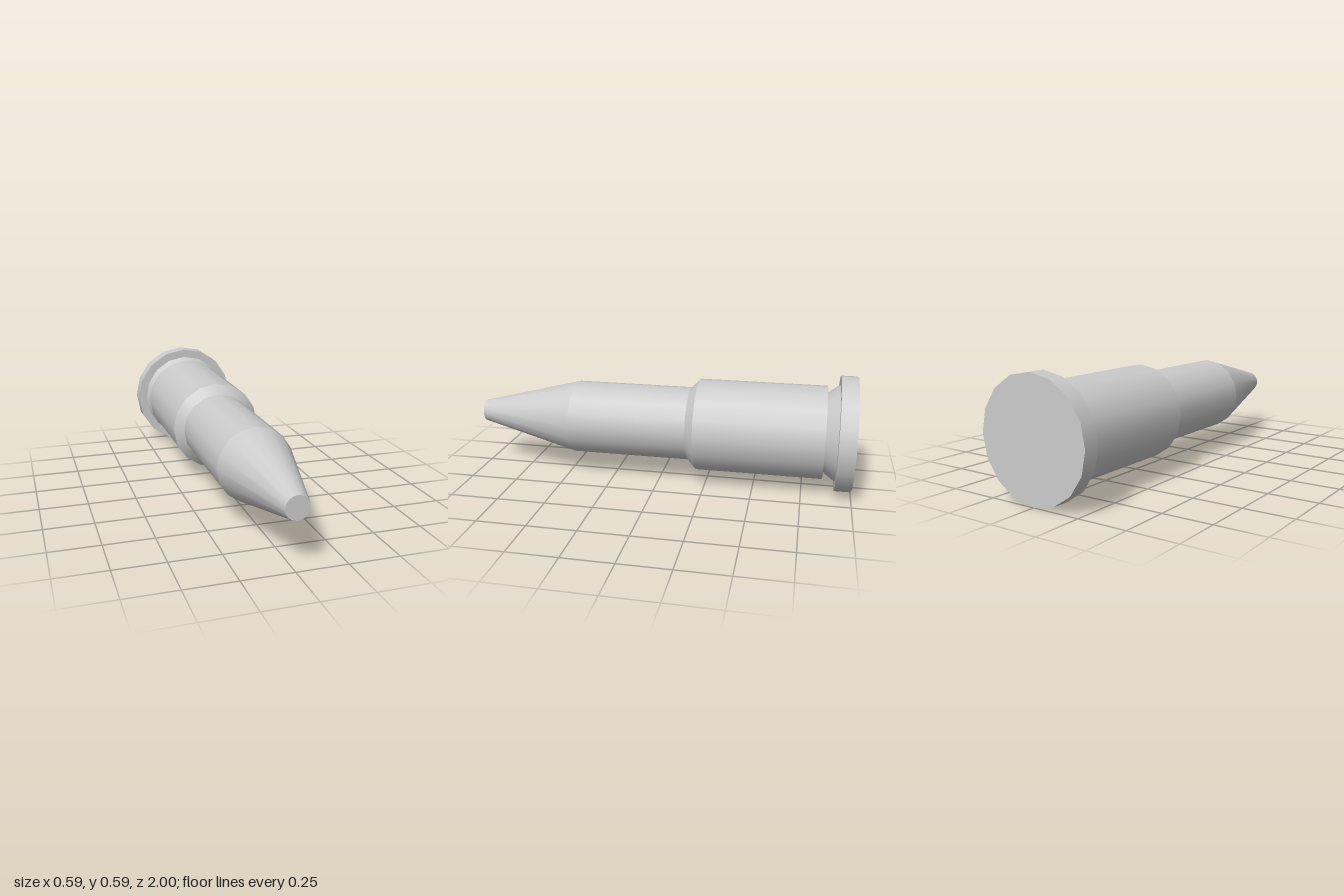
import * as THREE from 'three';

const SIDES = 16;
const AXIS_Y = 0.298;

export function createModel() {
  const group = new THREE.Group();
  const material = new THREE.MeshStandardMaterial({ color: 0xcccccc });

  // One coaxial section along z: front/back position and radius, smooth sides, sharp rims
  function section(name, zFront, rFront, zBack, rBack, capped = true) {
    const geometry = new THREE.CylinderGeometry(rFront, rBack, zFront - zBack, SIDES, 1, !capped);
    geometry.rotateX(Math.PI / 2);
    const mesh = new THREE.Mesh(geometry, material);
    mesh.name = name;
    mesh.position.set(0, AXIS_Y, (zFront + zBack) / 2);
    group.add(mesh);
  }

  // Slim front half: blunt tapered nose and straight shank
  section('taperedNose', 1, 0.058, 0.47, 0.193);
  section('shank', 0.47, 0.193, -0.152, 0.193, false);

  // Thicker sleeve with a chamfered front edge
  section('sleeveChamfer', -0.152, 0.193, -0.198, 0.241, false);
  section('sleeve', -0.198, 0.241, -0.853, 0.241);

  // Flared neck leading into the flat head
  section('flaredNeck', -0.853, 0.203, -0.915, 0.25, false);
  section('head', -0.915, 0.297, -1, 0.297);

  return group;
}
